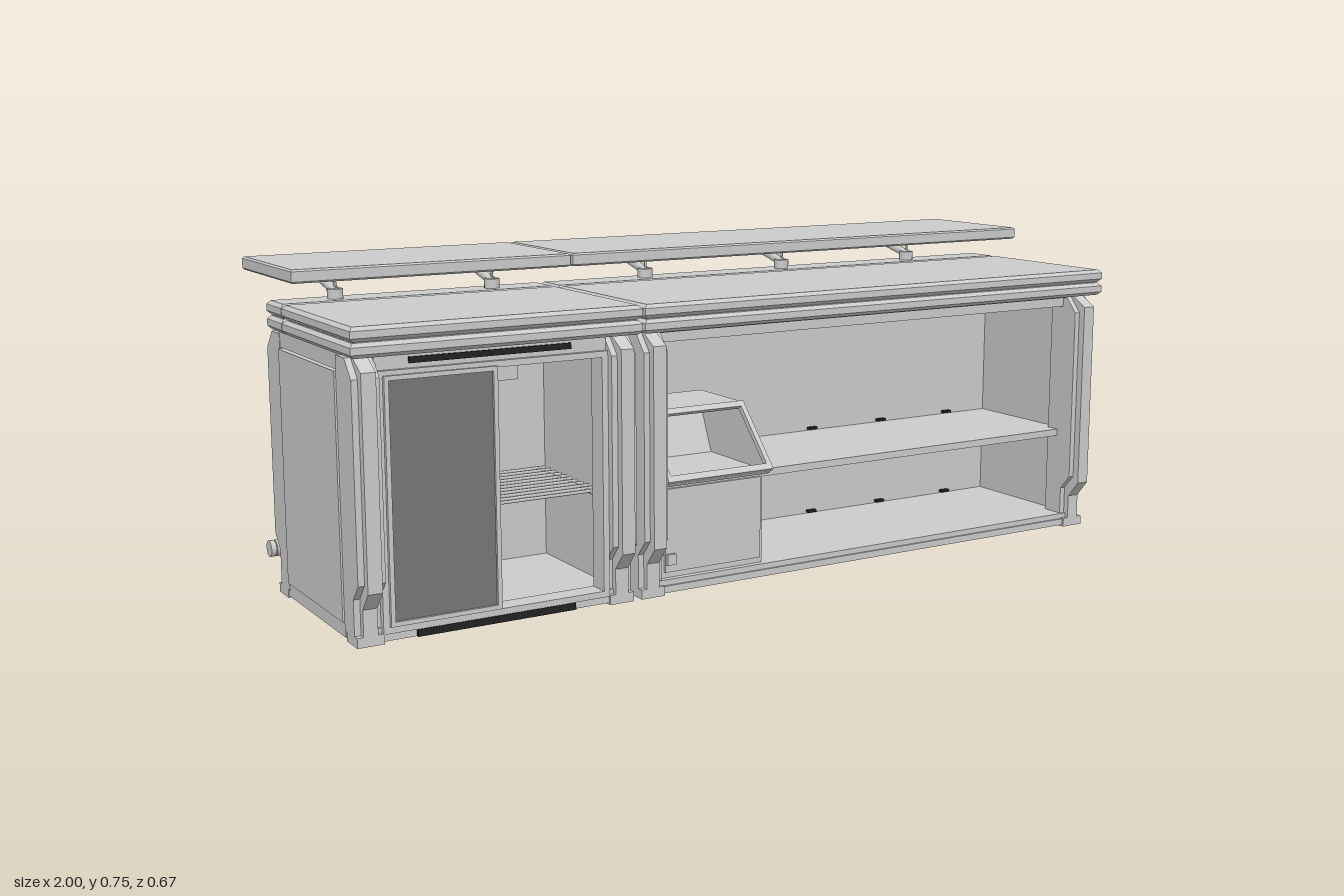
import * as THREE from 'three';

const grey = new THREE.MeshStandardMaterial({ color: 0xcccccc, side: THREE.DoubleSide });
const dark = new THREE.MeshStandardMaterial({ color: 0x777777 });
const black = new THREE.MeshStandardMaterial({ color: 0x222222 });

export function createModel() {
  const model = new THREE.Group();
  model.name = 'barCounter';

  const add = (name, geo, mat = grey, parent = model) => {
    const m = new THREE.Mesh(geo, mat);
    m.name = name;
    parent.add(m);
    return m;
  };
  // Box given by its limits on each axis
  const box = (name, x0, x1, y0, y1, z0, z1, mat, parent) =>
    add(name, new THREE.BoxGeometry(x1 - x0, y1 - y0, z1 - z0)
      .translate((x0 + x1) / 2, (y0 + y1) / 2, (z0 + z1) / 2), mat, parent);
  // Side profile of [z, y] points, extruded from x0 to x1
  const profile = (name, pts, x0, x1, mat, parent) => {
    const shape = new THREE.Shape(pts.map(([z, y]) => new THREE.Vector2(-z, y)));
    const geo = new THREE.ExtrudeGeometry(shape, { depth: x1 - x0, bevelEnabled: false });
    return add(name, geo.rotateY(Math.PI / 2).translate(x0, 0, 0), mat, parent);
  };
  // Rectangular frame facing z
  const frame = (name, x0, x1, y0, y1, z0, z1, w, parent) => {
    box(name, x0, x1, y1 - w, y1, z0, z1, grey, parent);
    box(name, x0, x1, y0, y0 + w, z0, z1, grey, parent);
    box(name, x0, x0 + w, y0 + w, y1 - w, z0, z1, grey, parent);
    box(name, x1 - w, x1, y0 + w, y1 - w, z0, z1, grey, parent);
  };
  // Slab with chamfered edges all round
  const slab = (name, x0, x1, y0, y1, z0, z1, c) => {
    const s = new THREE.Shape([[x0 + c, -z1 + c], [x1 - c, -z1 + c], [x1 - c, -z0 - c], [x0 + c, -z0 - c]]
      .map(p => new THREE.Vector2(...p)));
    const geo = new THREE.ExtrudeGeometry(s, {
      depth: y1 - y0 - 2 * c, bevelThickness: c, bevelSize: c, bevelSegments: 1 });
    return add(name, geo.rotateX(-Math.PI / 2).translate(0, y0 + c, 0));
  };
  // Cylinder between two points
  const rod = (name, a, b, r, sides, parent) => {
    const p = new THREE.Vector3(...a), q = new THREE.Vector3(...b), d = q.clone().sub(p);
    const m = add(name, new THREE.CylinderGeometry(r, r, d.length(), sides), grey, parent);
    m.position.copy(p).add(q).multiplyScalar(0.5);
    m.quaternion.setFromUnitVectors(new THREE.Vector3(0, 1, 0), d.normalize());
    return m;
  };

  // Posts: a broad core with a narrower guard standing proud of it
  const guard = [[0.3, 0], [0.3, 0.08], [0.333, 0.12], [0.333, 0.575], [0.285, 0.603], [0.23, 0.603], [0.23, 0]];
  const core = [[0.285, 0.02], [0.285, 0.1], [0.315, 0.135], [0.315, 0.56], [0.28, 0.6], [0.23, 0.6], [0.23, 0.02]];
  const toBack = pts => pts.map(([z, y]) => [0.115 - z, y]);
  const post = (x, back) => {
    const g = new THREE.Group();
    g.name = back ? 'backPost' : 'frontPost';
    model.add(g);
    const f = back ? toBack : p => p;
    profile('postCore', f(core), x - 0.03, x + 0.03, grey, g);
    profile('postGuard', f(guard), x - 0.016, x + 0.016, grey, g);
    const [z0, z1] = back ? [-0.185, -0.125] : [0.24, 0.3];
    box('foot', x - 0.03, x + 0.03, 0, 0.022, z0, z1, grey, g);
    if (back) {
      rod('railArm', [x, 0.14, -0.21], [x, 0.085, -0.25], 0.011, 8, g);
      rod('railCollar', [x - 0.016, 0.085, -0.25], [x + 0.016, 0.085, -0.25], 0.019, 16, g);
    }
  };

  // Worktop, rear ledge, raised shelf, end walls, kick panel and foot rail of one unit
  const unit = (x0, x1, brackets, posts) => {
    for (const [z0, z1] of [[-0.073, 0.335], [-0.172, -0.076]]) {
      slab('worktopLower', x0, x1, 0.604, 0.635, z0, z1, 0.008);
      slab('worktopUpper', x0, x1, 0.637, 0.668, z0, z1, 0.008);
      box('worktopCore', x0 + 0.012, x1 - 0.012, 0.606, 0.66, z0 + 0.01, z1 - 0.01);
    }
    slab('raisedShelf', x0, x1, 0.72, 0.75, -0.333, 0, 0.004);
    for (const x of brackets) {
      const g = new THREE.Group();
      g.name = 'shelfBracket';
      model.add(g);
      rod('bracketBase', [x, 0.666, -0.122], [x, 0.69, -0.122], 0.018, 12, g);
      rod('bracketArm', [x, 0.683, -0.115], [x, 0.707, -0.21], 0.011, 8, g);
      rod('bracketHead', [x, 0.7, -0.205], [x, 0.718, -0.205], 0.016, 12, g);
      rod('bracketPin', [x, 0.685, -0.12], [x, 0.722, -0.12], 0.003, 6, g);
      box('bracketPlate', x - 0.025, x + 0.025, 0.715, 0.721, -0.224, -0.184, grey, g);
    }
    const wall = [[0.28, 0.01], [-0.12, 0.01], [-0.185, 0.09], [-0.185, 0.602], [0.28, 0.602]];
    for (const [e, s] of [[x0, 1], [x1, -1]]) {
      const span = (a, b) => (s > 0 ? [e + a, e + b] : [e - b, e - a]);
      profile('endWall', wall, ...span(0.03, 0.045));
      box('endPanel', ...span(0.003, 0.03), 0.038, 0.567, -0.113, 0.23);
      box('endHeader', ...span(0.008, 0.035), 0.57, 0.604, -0.122, 0.237);
      box('endPlinth', ...span(0.008, 0.035), 0.005, 0.036, -0.125, 0.233);
    }
    const a = x0 + 0.035, b = x1 - 0.035;
    profile('kickPanel', [[-0.06, 0.01], [-0.185, 0.095], [-0.178, 0.104], [-0.05, 0.02]], a, b);
    box('backWall', a, b, 0.095, 0.6, -0.185, -0.177);
    box('backLowerStrip', a, b, 0.1, 0.155, -0.19, -0.185);
    box('backTopBeam', a, b, 0.578, 0.603, -0.192, -0.165);
    box('innerWall', a, b, 0.02, 0.6, -0.065, -0.057);
    box('floor', a, b, 0.01, 0.033, -0.06, 0.29);
    box('ceiling', a, b, 0.595, 0.604, -0.18, 0.28);
    box('frontSill', a, b, 0.004, 0.02, 0.27, 0.295);
    rod('footRail', [x0 + 0.012, 0.085, -0.25], [x1 - 0.012, 0.085, -0.25], 0.012, 16);
    for (const x of [x0 + 0.007, x1 - 0.019])
      rod('railEndCap', [x, 0.085, -0.25], [x + 0.012, 0.085, -0.25], 0.019, 16);
    for (const x of [x0 + 0.037, x1 - 0.037]) { post(x, false); post(x, true); }
    posts.forEach(x => post(x, true));
  };
  unit(-1, -0.337, [-0.86, -0.48], []);
  unit(-0.331, 1, [-0.07, 0.33, 0.73], [0.33]);

  // Rear bays: framed panels, one slotted and one with a raised plate
  const bay = (x0, x1, split, plateHigh) => {
    const g = new THREE.Group();
    g.name = 'rearBay';
    model.add(g);
    frame('bayFrame', x0, x1, 0.175, 0.575, -0.2, -0.185, 0.022, g);
    box('bayMullion', split - 0.011, split + 0.011, 0.197, 0.553, -0.2, -0.185, grey, g);
    const [v0, v1] = plateHigh ? [x0 + 0.022, split] : [split, x1 - 0.022];
    const [p0, p1] = plateHigh ? [split, x1 - 0.022] : [x0 + 0.022, split];
    const c = (v0 + v1) / 2, w = (v1 - v0) * 0.25, p = (p0 + p1) / 2, q = (p1 - p0) * 0.27;
    for (let i = 0; i < 5; i++) {
      const y = 0.25 + i * 0.055;
      box('ventSlat', c - w, c + w, y, y + 0.009, -0.189, -0.185, grey, g);
    }
    box('raisedPlate', p - q, p + q, 0.25, 0.49, -0.197, -0.185, dark, g);
    for (const x of [x0 + 0.012, x1 - 0.012, split]) for (const y of [0.187, 0.563])
      box('screw', x - 0.006, x + 0.006, y - 0.006, y + 0.006, -0.203, -0.2, black, g);
  };
  bay(0.37, 0.92, 0.69, true);
  bay(-0.25, 0.29, -0.03, false);
  bay(-0.925, -0.415, -0.55, true);

  // Cooler: front frame, sliding door, wire rack and black grilles
  frame('coolerFrame', -0.935, -0.405, 0.02, 0.57, 0.25, 0.3, 0.014);
  box('coolerHeader', -0.935, -0.405, 0.57, 0.603, 0.24, 0.29);
  box('slidingDoor', -0.915, -0.675, 0.045, 0.55, 0.282, 0.3, dark);
  frame('doorFrame', -0.92, -0.668, 0.035, 0.56, 0.28, 0.306, 0.01);
  for (const [a, b] of [[-0.64, -0.57], [-0.545, -0.45]])
    box('linerVent', a, b, 0.46, 0.525, -0.057, -0.054);
  for (const x of [-0.55, -0.525]) box('linerSlot', x - 0.006, x + 0.006, 0.23, 0.37, -0.057, -0.05, black);
  for (let i = 0; i < 11; i++) {
    const z = -0.04 + i * 0.027;
    rod('rackWire', [-0.95, 0.247, z], [-0.39, 0.247, z], 0.004, 6);
  }
  for (const x of [-0.93, -0.67, -0.41]) rod('rackRib', [x, 0.243, -0.055], [x, 0.243, 0.24], 0.005, 6);
  box('topGrille', -0.86, -0.49, 0.58, 0.593, 0.285, 0.294, black);
  box('bottomGrille', -0.86, -0.49, 0.004, 0.02, 0.29, 0.302, black);

  // Open shelving
  box('middleShelf', 0.01, 0.955, 0.235, 0.252, -0.06, 0.265);
  box('shelfHeader', -0.29, 0.955, 0.572, 0.6, 0.255, 0.27);
  for (const y of [0.255, 0.036]) for (let i = 0; i < 4; i++)
    box('shelfClip', 0.15 + i * 0.22, 0.175 + i * 0.22, y, y + 0.006, -0.057, -0.045, black);

  // Cabinet with a hopper whose open mouth slopes forward
  box('cabinet', -0.26, 0.012, 0.033, 0.25, -0.06, 0.275);
  box('cabinetDoor', -0.252, 0.004, 0.047, 0.24, 0.275, 0.282);
  box('cabinetLatch', -0.25, -0.228, 0.065, 0.09, 0.282, 0.29);
  const side = [[0.31, 0.262], [0.18, 0.4], [0, 0.4], [-0.02, 0.25], [0.3, 0.25]];
  profile('hopperSide', side, -0.26, -0.252);
  profile('hopperSide', side, 0.007, 0.015);
  profile('hopperTop', [[0.18, 0.4], [0, 0.4], [0, 0.392], [0.18, 0.392]], -0.252, 0.007);
  profile('hopperChute', [[0, 0.394], [0.06, 0.258], [0.305, 0.258], [0.3, 0.25], [-0.02, 0.25]], -0.252, 0.007);
  profile('hopperLip', [[0.316, 0.264], [0.306, 0.276], [0.298, 0.27], [0.306, 0.256]], -0.262, 0.017);
  profile('hopperLip', [[0.196, 0.392], [0.186, 0.403], [0.172, 0.4], [0.184, 0.384]], -0.262, 0.017);
  for (const x of [-0.262, 0.005])
    profile('hopperRim', [[0.316, 0.264], [0.186, 0.403], [0.176, 0.394], [0.306, 0.256]], x, x + 0.012);

  return model;
}
